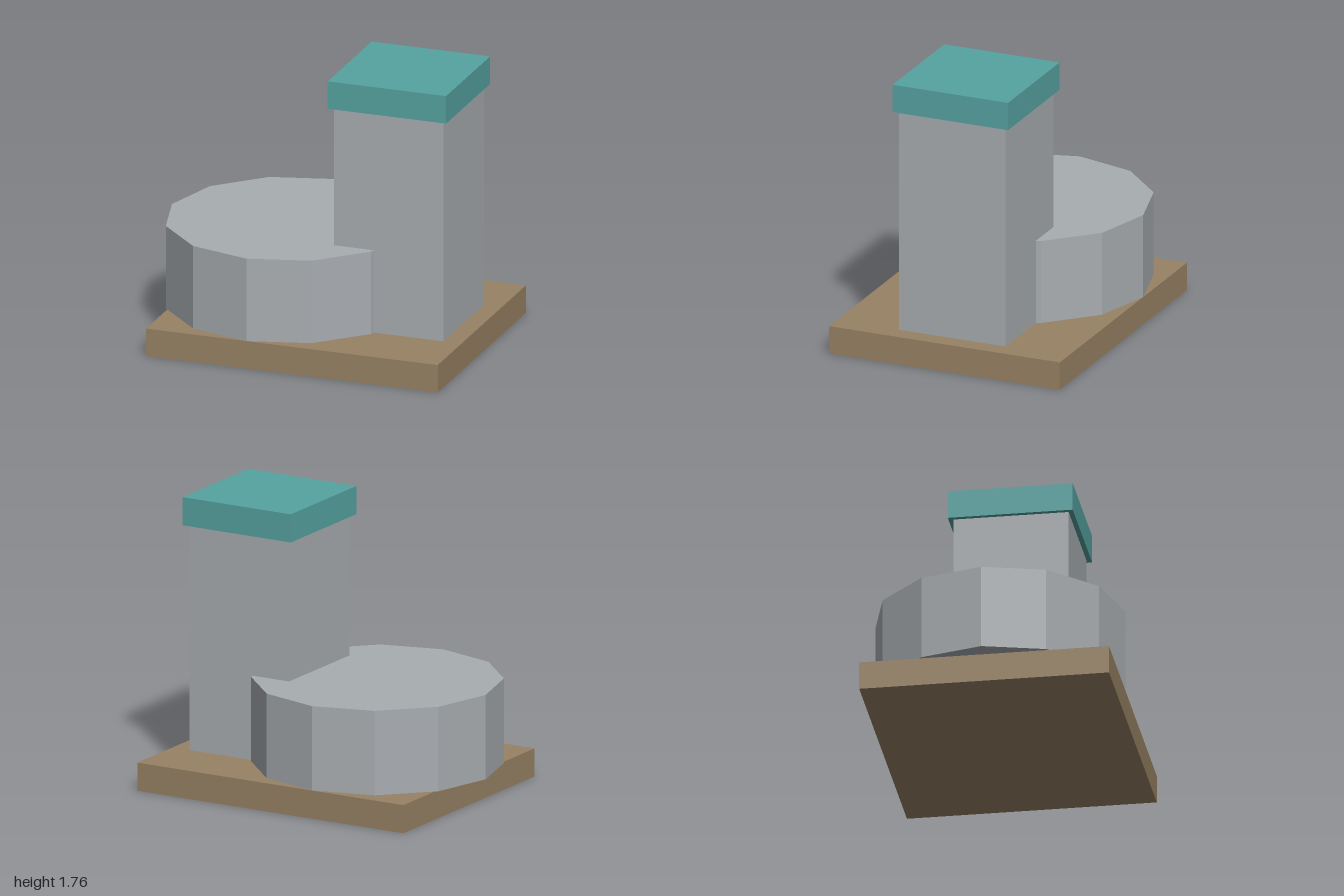
import * as THREE from 'three';

export function createModel() {
  const model = new THREE.Group();
  const u = 2 / 17; // modular unit shared by all parts

  const material = (name, color) => {
    const m = new THREE.MeshStandardMaterial({ color });
    m.name = name;
    return m;
  };
  const stone = material('grey stone', 0xa8adb1);
  const earth = material('brown earth', 0x988264);
  const roof = material('teal roof', 0x56a3a1);

  // Adds a part centred at x whose underside sits at height y
  const add = (name, geometry, mat, x, y, height) => {
    const mesh = new THREE.Mesh(geometry, mat);
    mesh.name = name;
    mesh.position.set(x * u, (y + height / 2) * u, 0);
    model.add(mesh);
  };
  const box = (w, h, d) => new THREE.BoxGeometry(w * u, h * u, d * u);

  // Ground slab
  add('base', box(16, 1.5, 13), earth, 0.5, 0, 1.5);

  // Low twelve-sided hall, faceted
  const drum = new THREE.CylinderGeometry(6.5 * u, 6.5 * u, 4.5 * u, 12).toNonIndexed();
  drum.computeVertexNormals();
  add('roundHall', drum, stone, -2, 1.5, 4.5);

  // Square tower and its overhanging cap
  add('tower', box(6, 12, 6), stone, 4.5, 1.5, 12);
  add('towerCap', box(6.5, 1.5, 6.5), roof, 4.5, 13.5, 1.5);

  return model;
}
